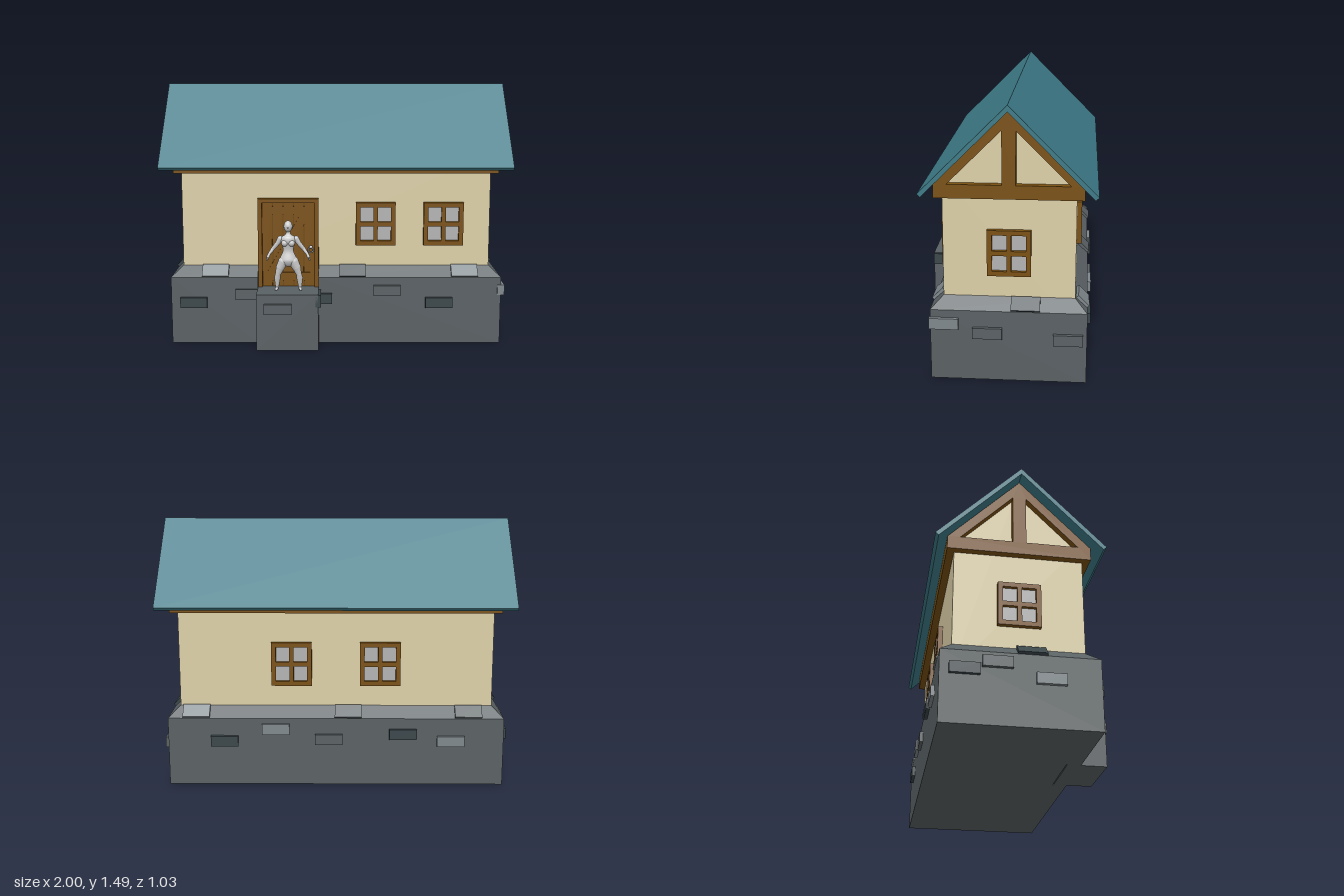
import * as THREE from 'three';

const mat = (color, opts = {}) => new THREE.MeshStandardMaterial({ color, ...opts });
const M = {
  roof: mat(0x3d7a87), wall: mat(0xddd0a8), wood: mat(0x7a5010), plank: mat(0x6b460e),
  stone: mat(0x5a6164), light: mat(0x7f888c), dark: mat(0x3b464a), mid: mat(0x485256),
  pane: mat(0xb3b3b3), grey: mat(0xcccccc),
};
const CENTRE_Z = -0.06;
const WALL = { x: 0.885, z: 0.345 }, BASE = { x: 0.95, z: 0.41 };
const EAVE = 0.39, BASE_TOP = 0.45, RIDGE = 1.451;
const DOOR = { l: -0.45, r: -0.1, floor: 0.325 };

function add(parent, name, geo, material, x = 0, y = 0, z = 0) {
  const m = new THREE.Mesh(geo, material);
  m.name = name;
  m.position.set(x, y, z);
  parent.add(m);
  return m;
}
const box = (parent, name, material, w, h, d, x, y, z) =>
  add(parent, name, new THREE.BoxGeometry(w, h, d), material, x, y, z);

const poly = (pts) => new THREE.Shape(pts.map(([a, b]) => new THREE.Vector2(a, b)));

// Extrude a (z, y) profile along x, centred on x = 0
function extrudeX(shape, length) {
  const g = new THREE.ExtrudeGeometry(shape, { depth: length, bevelEnabled: false });
  return g.translate(0, 0, -length / 2).rotateY(-Math.PI / 2);
}

// A group whose local +z points out of one side, with its origin on that side's plane
function sideGroup(house, side, half) {
  const turn = { front: 0, right: Math.PI / 2, back: Math.PI, left: -Math.PI / 2 }[side];
  const g = new THREE.Group();
  g.name = side + 'Side';
  const d = side === 'front' || side === 'back' ? half.z : half.x;
  g.rotation.y = turn;
  g.position.set(Math.sin(turn) * d, 0, Math.cos(turn) * d);
  house.add(g);
  return g;
}

function addFoundation(house) {
  // Plan outline with a notch for the doorway
  const { x, z } = BASE, n = 0.33;
  const plan = poly([[-x, -z], [-x, z], [x, z], [x, -z], [DOOR.r, -z], [DOOR.r, -n], [DOOR.l, -n], [DOOR.l, -z]]);
  const g = new THREE.ExtrudeGeometry(plan, { depth: EAVE, bevelEnabled: false }).rotateX(-Math.PI / 2);
  add(house, 'foundation', g, M.stone);

  // Sloped coping around the walls, split at the door
  const lo = (a, b) => [a, EAVE, b], hi = (a, b) => [a, BASE_TOP, b];
  const X = WALL.x, Z = WALL.z, v = [];
  const quad = (a, b, c, d) => v.push(...a, ...b, ...c, ...a, ...c, ...d);
  quad(lo(-x, z), lo(DOOR.l, z), hi(DOOR.l, Z), hi(-X, Z));
  quad(lo(DOOR.r, z), lo(x, z), hi(X, Z), hi(DOOR.r, Z));
  quad(lo(x, z), lo(x, -z), hi(X, -Z), hi(X, Z));
  quad(lo(x, -z), lo(-x, -z), hi(-X, -Z), hi(X, -Z));
  quad(lo(-x, -z), lo(-x, z), hi(-X, Z), hi(-X, -Z));
  v.push(...lo(DOOR.l, z), ...lo(DOOR.l, Z), ...hi(DOOR.l, Z));
  v.push(...lo(DOOR.r, z), ...hi(DOOR.r, Z), ...lo(DOOR.r, Z));
  const coping = new THREE.BufferGeometry();
  coping.setAttribute('position', new THREE.Float32BufferAttribute(v, 3));
  coping.computeVertexNormals();
  add(house, 'coping', coping, mat(0x5a6164, { side: THREE.DoubleSide }));

  // Doorstep
  const front = 0.555, back = 0.335;
  box(house, 'doorstep', M.stone, DOOR.r - DOOR.l, DOOR.floor, front - back,
    (DOOR.l + DOOR.r) / 2, DOOR.floor / 2, (front + back) / 2);
  box(house, 'stepStone', M.stone, 0.155, 0.058, 0.04, -0.328, 0.243, front);
  box(house, 'stepStone', M.dark, 0.03, 0.07, 0.13, DOOR.r, 0.287, 0.49);

  // Loose stones: [position along the side, height, material]; and on the coping
  const stones = {
    front: [[-0.82, 0.243, M.dark], [-0.5, 0.293, M.stone], [-0.1, 0.268, M.dark], [0.293, 0.315, M.stone], [0.593, 0.243, M.dark]],
    right: [[-0.338, 0.318, M.light], [-0.11, 0.27, M.stone], [0.312, 0.243, M.stone]],
    back: [[-0.63, 0.26, M.dark], [-0.34, 0.33, M.light], [-0.04, 0.27, M.stone], [0.38, 0.3, M.dark], [0.65, 0.26, M.light]],
    left: [[-0.285, 0.29, M.dark], [-0.12, 0.335, M.stone], [0.15, 0.26, M.light]],
  };
  const copingStones = {
    front: [[-0.695, M.light], [0.095, M.mid], [0.74, M.light]],
    right: [[0.088, M.dark]],
    back: [[-0.79, M.light], [0.07, M.stone], [0.75, M.stone]],
    left: [[0.06, M.dark]],
  };
  for (const side in stones) {
    const s = sideGroup(house, side, BASE);
    for (const [u, y, m] of stones[side]) box(s, 'stone', m, 0.155, 0.06, 0.04, u, y, 0);
    for (const [u, m] of copingStones[side])
      box(s, 'copingStone', m, 0.152, 0.08, 0.03, u, 0.42, -0.03).rotation.x = -Math.PI / 4;
  }
}

function addWindow(side, u) {
  const g = new THREE.Group(), w = 0.228, h = 0.248, t = 0.026;
  g.name = 'window';
  g.position.set(u, 0.695, 0);
  side.add(g);
  // One frame with four openings
  const frame = poly([[-w / 2, -h / 2], [w / 2, -h / 2], [w / 2, h / 2], [-w / 2, h / 2]]);
  for (const sx of [-1, 1]) for (const sy of [-1, 1]) {
    const a = sx * 0.012, b = sx * (w / 2 - t), c = sy * 0.013, d = sy * (h / 2 - t);
    frame.holes.push(poly([[a, c], [a, d], [b, d], [b, c]]));
  }
  add(g, 'windowFrame', new THREE.ExtrudeGeometry(frame, { depth: 0.027, bevelEnabled: false }), M.wood);
  box(g, 'windowPane', M.pane, w - t, h - t, 0.012, 0, 0, 0.001);
}

function addDoor(side) {
  const g = new THREE.Group(), w = DOOR.r - DOOR.l, h = 0.517, t = 0.024;
  g.name = 'door';
  g.position.set((DOOR.l + DOOR.r) / 2, DOOR.floor, 0);
  side.add(g);
  for (const s of [-1, 1]) box(g, 'doorJamb', M.wood, t, h, 0.036, s * (w - t) / 2, h / 2, 0.008);
  box(g, 'doorLintel', M.wood, w - 2 * t, t, 0.036, 0, h - t / 2, 0.008);
  box(g, 'doorBacking', M.plank, w - t, h - t, 0.012, 0, (h - t) / 2, 0);
  // Planks with narrow gaps
  const inner = w - 2 * t, n = 5;
  for (let i = 0; i < n; i++)
    box(g, 'plank', M.wood, inner / n - 0.006, h - t - 0.006, 0.016, -inner / 2 + (i + 0.5) * inner / n, (h - t) / 2, 0.004);
  // Z-shaped brace
  for (const y of [0.06, 0.447]) box(g, 'brace', M.wood, 0.25, 0.048, 0.02, 0, y, 0.01);
  const diagonal = poly([[-0.125, 0.084], [-0.068, 0.084], [0.125, 0.423], [0.068, 0.423]]);
  add(g, 'diagonalBrace', new THREE.ExtrudeGeometry(diagonal, { depth: 0.02, bevelEnabled: false }), M.wood);
  // Ring handle
  add(g, 'handlePlate', new THREE.SphereGeometry(0.01, 12, 8), M.grey, 0.13, 0.235, 0.02);
  add(g, 'ringHandle', new THREE.TorusGeometry(0.015, 0.004, 8, 20), M.grey, 0.13, 0.218, 0.024);
}

function addBuilding(house) {
  const { x, z } = WALL;
  const slope = (d) => RIDGE - d - 0.005;
  add(house, 'walls', extrudeX(poly([[-z, 0.3], [z, 0.3], [z, slope(z)], [0, slope(0)], [-z, slope(z)]]), 2 * x), M.wall);

  // Eave beams and the triangular gable frames
  const out = 0.04, zo = z + out, bottom = 0.99;
  for (const s of [-1, 1]) {
    box(house, 'eaveBeam', M.wood, 2 * x, 0.07, out, 0, bottom + 0.035, s * (z + out / 2));
    const frame = poly([[-zo, bottom], [zo, bottom], [zo, slope(zo)], [0, slope(0)], [-zo, slope(zo)]]);
    for (const m of [-1, 1]) frame.holes.push(poly([[m * 0.036, 1.063], [m * 0.316, 1.063], [m * 0.036, 1.343]]));
    add(house, 'gableFrame', extrudeX(frame, out), M.wood, s * (x + out / 2));
  }

  // Two-sided pitched roof
  const e = 0.437, t = 0.017;
  const roof = poly([[0, RIDGE], [e, RIDGE - e], [e + t, RIDGE - e + t], [0, RIDGE + 2 * t], [-e - t, RIDGE - e + t], [-e, RIDGE - e]]);
  add(house, 'roof', extrudeX(roof, 2), M.roof);

  const windows = { front: [0.228, 0.618], right: [0], back: [-0.25, 0.25], left: [0] };
  for (const side in windows) {
    const s = sideGroup(house, side, WALL);
    windows[side].forEach((u) => addWindow(s, u));
    if (side === 'front') addDoor(s);
  }
}

// Tapered limb through points [x, y, z, radius] with rounded joints
function limb(parent, name, pts) {
  const g = new THREE.Group();
  g.name = name;
  parent.add(g);
  pts.forEach(([x, y, z, r], i) => {
    add(g, 'joint', new THREE.SphereGeometry(r, 14, 10), M.grey, x, y, z);
    if (!i) return;
    const a = new THREE.Vector3(...pts[i - 1].slice(0, 3)), b = new THREE.Vector3(x, y, z);
    const dir = b.clone().sub(a), mid = a.clone().add(b).multiplyScalar(0.5);
    const seg = add(g, 'segment', new THREE.CylinderGeometry(r, pts[i - 1][3], dir.length(), 14, 1, true), M.grey, ...mid);
    seg.quaternion.setFromUnitVectors(new THREE.Vector3(0, 1, 0), dir.normalize());
  });
}

function createFigure() {
  const f = new THREE.Group();
  f.name = 'standingFigure';
  // Torso
  const profile = [[0, 0.135], [0.03, 0.145], [0.05, 0.17], [0.046, 0.19], [0.03, 0.228], [0.036, 0.262], [0.045, 0.29], [0.038, 0.31], [0.015, 0.325], [0.013, 0.36]];
  const curve = new THREE.SplineCurve(profile.map(([r, y]) => new THREE.Vector2(r, y)));
  const pts = curve.getPoints(30).map((p) => new THREE.Vector2(Math.max(p.x, 0), p.y));
  add(f, 'torso', new THREE.LatheGeometry(pts, 20), M.grey).scale.z = 0.66;
  // Head
  add(f, 'head', new THREE.SphereGeometry(0.03, 18, 14), M.grey, 0, 0.37, 0.005).scale.set(0.82, 1.1, 1);
  add(f, 'nose', new THREE.SphereGeometry(0.005, 8, 6), M.grey, 0, 0.365, 0.035);
  for (const s of [-1, 1]) {
    add(f, 'ear', new THREE.SphereGeometry(0.007, 8, 6), M.grey, s * 0.026, 0.368, 0).scale.x = 0.5;
    add(f, 'chest', new THREE.SphereGeometry(0.019, 12, 10), M.grey, s * 0.02, 0.275, 0.017);
    limb(f, 'arm', [[s * 0.045, 0.298, 0, 0.017], [s * 0.064, 0.268, 0, 0.013], [s * 0.088, 0.238, -0.004, 0.011], [s * 0.108, 0.212, 0.006, 0.008], [s * 0.115, 0.196, 0.01, 0.009]]);
    for (let i = -1; i <= 1; i++)
      limb(f, 'finger', [[s * 0.116, 0.195, 0.01 + i * 0.005, 0.004], [s * (0.12 + i * 0.004), 0.178, 0.012 + i * 0.006, 0.003]]);
    limb(f, 'leg', [[s * 0.03, 0.165, 0, 0.029], [s * 0.046, 0.132, 0, 0.025], [s * 0.06, 0.092, 0.002, 0.016], [s * 0.064, 0.068, -0.004, 0.018], [s * 0.066, 0.016, -0.006, 0.01]]);
    limb(f, 'foot', [[s * 0.066, 0.01, -0.01, 0.01], [s * 0.07, 0.007, 0.022, 0.008]]);
  }
  return f;
}

export function createModel() {
  const model = new THREE.Group();
  model.name = 'cottage';
  const house = new THREE.Group();
  house.name = 'house';
  house.position.z = CENTRE_Z;
  model.add(house);
  addFoundation(house);
  addBuilding(house);
  const figure = createFigure();
  figure.position.set(-0.272, DOOR.floor, 0.376);
  model.add(figure);
  return model;
}
